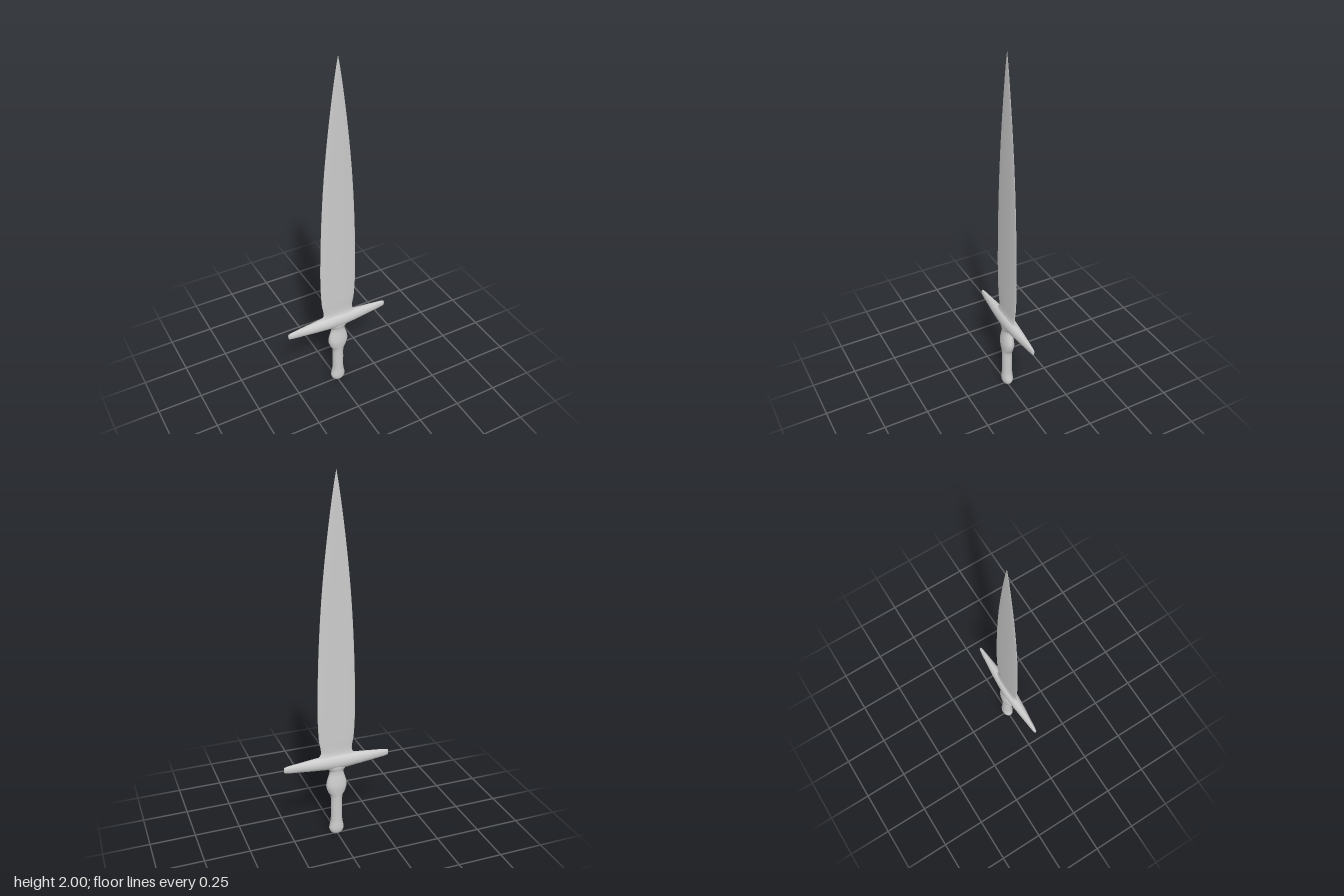
import * as THREE from 'three';

const material = new THREE.MeshStandardMaterial({ color: 0xcccccc, side: THREE.DoubleSide });

// Smooth loft along y through elliptical sections [y, half width x, half depth z]
function loft(name, sections, rings, sides) {
  const curve = new THREE.CatmullRomCurve3(sections.map(([y, a, b]) => new THREE.Vector3(a, y, b)));
  const positions = [], index = [];
  for (let i = 0; i <= rings; i++) {
    const p = curve.getPoint(i / rings);
    for (let j = 0; j < sides; j++) {
      const t = (j / sides) * Math.PI * 2;
      positions.push(Math.max(p.x, 0) * Math.cos(t), p.y, Math.max(p.z, 0) * Math.sin(t));
      if (i === rings) continue;
      const a = i * sides + j, b = i * sides + ((j + 1) % sides);
      index.push(a, a + sides, b, b, a + sides, b + sides);
    }
  }
  const geometry = new THREE.BufferGeometry();
  geometry.setAttribute('position', new THREE.Float32BufferAttribute(positions, 3));
  geometry.setIndex(index);
  geometry.computeVertexNormals();
  const mesh = new THREE.Mesh(geometry, material);
  mesh.name = name;
  return mesh;
}

export function createModel() {
  const group = new THREE.Group();
  group.name = 'dagger';

  // Thin leaf-shaped blade, flaring where it meets the guard
  const blade = loft('blade', [
    [0.47, 0.125, 0.022], [0.492, 0.105, 0.016], [0.515, 0.089, 0.01], [0.6, 0.099, 0.009],
    [0.75, 0.105, 0.008], [1.0, 0.1, 0.007], [1.2, 0.091, 0.006], [1.4, 0.077, 0.005],
    [1.6, 0.057, 0.004], [1.8, 0.032, 0.0025], [1.94, 0.011, 0.0015], [2.0, 0, 0],
  ], 88, 32);
  blade.position.x = 0.004;

  // Grip with rounded pommel, swelling under the guard and top flare
  const grip = loft('grip', [
    [0, 0, 0], [0.005, 0.02, 0.015], [0.02, 0.036, 0.027], [0.04, 0.042, 0.031],
    [0.062, 0.038, 0.031], [0.09, 0.033, 0.029], [0.17, 0.032, 0.028], [0.245, 0.034, 0.029],
    [0.275, 0.049, 0.032], [0.31, 0.058, 0.034], [0.345, 0.053, 0.031], [0.385, 0.041, 0.026],
    [0.405, 0.041, 0.026], [0.42, 0.055, 0.029], [0.44, 0.07, 0.03],
  ], 84, 32);
  grip.position.x = 0.004;

  // Cross guard, tapering to blunt tips on both sides
  const half = [
    [0.298, 0, 0], [0.2975, 0.014, 0.005], [0.29, 0.018, 0.008], [0.2, 0.028, 0.019], [0.1, 0.037, 0.029],
  ];
  const guard = loft('crossGuard', [
    ...half.map(([x, a, b]) => [-x, a, b]),
    [0, 0.044, 0.034],
    ...half.slice().reverse(),
  ], 80, 32);
  guard.geometry.rotateZ(-Math.PI / 2);
  guard.position.y = 0.457;

  group.add(blade, grip, guard);
  return group;
}
